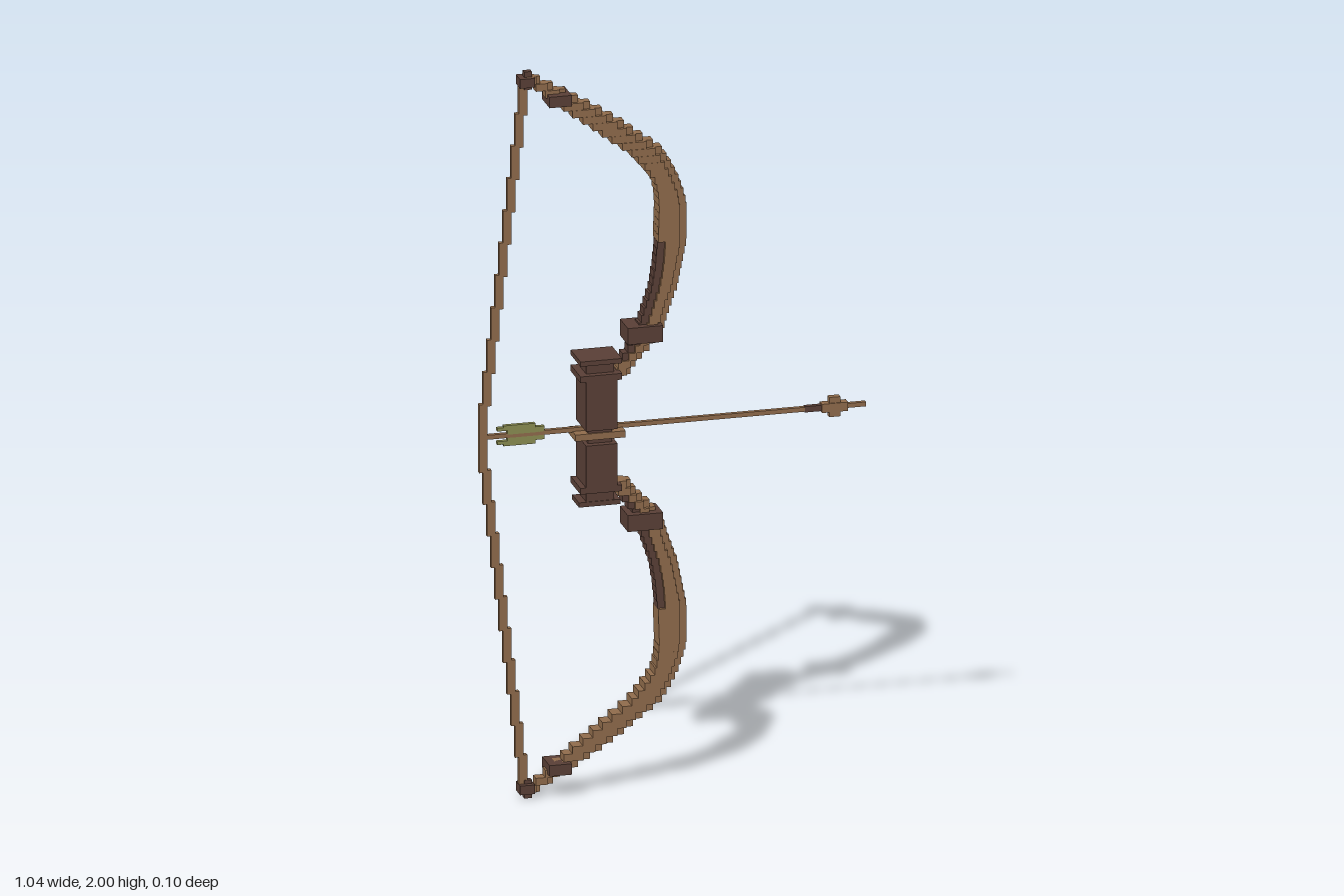
import * as THREE from 'three';

const mat = (name, color) => {
  const m = new THREE.MeshStandardMaterial({ color });
  m.name = name;
  return m;
};

// Limb outline for the upper half: y, inner x, outer x, half depth
const LIMB = [
  [1.14, -0.16, -0.125, 0.022], [1.18, -0.15, -0.10, 0.024], [1.22, -0.12, -0.06, 0.026],
  [1.26, -0.10, -0.03, 0.028], [1.32, -0.08, -0.012, 0.028], [1.38, -0.06, 0.01, 0.028],
  [1.44, -0.05, 0.022, 0.028], [1.50, -0.045, 0.034, 0.028], [1.60, -0.042, 0.034, 0.028],
  [1.64, -0.045, 0.025, 0.028], [1.68, -0.055, 0.01, 0.028], [1.72, -0.085, -0.01, 0.028],
  [1.76, -0.12, -0.035, 0.026], [1.80, -0.175, -0.09, 0.022], [1.84, -0.225, -0.14, 0.022],
  [1.88, -0.28, -0.20, 0.02], [1.92, -0.325, -0.265, 0.018], [1.95, -0.365, -0.315, 0.015],
  [1.985, -0.405, -0.375, 0.011],
];

function limbAt(y) {
  let i = 0;
  while (i < LIMB.length - 2 && LIMB[i + 1][0] < y) i++;
  const a = LIMB[i], b = LIMB[i + 1], t = (y - a[0]) / (b[0] - a[0]);
  return [1, 2, 3].map((k) => a[k] + (b[k] - a[k]) * t);
}

export function createModel() {
  const model = new THREE.Group();
  model.name = 'bowAndArrow';
  const wood = mat('lightWood', 0x8f6b4b);
  const dark = mat('darkLeather', 0x593f36);
  const green = mat('featherGreen', 0x8a8c52);

  // Axis-aligned block from its extents
  const block = (parent, name, m, x0, x1, y0, y1, hz, z = 0) => {
    const mesh = new THREE.Mesh(new THREE.BoxGeometry(x1 - x0, Math.abs(y1 - y0), hz * 2), m);
    mesh.position.set((x0 + x1) / 2, (y0 + y1) / 2, z);
    mesh.name = name;
    parent.add(mesh);
    return mesh;
  };
  const group = (name) => {
    const g = new THREE.Group();
    g.name = name;
    model.add(g);
    return g;
  };

  for (const s of [1, -1]) {
    const side = s > 0 ? 'upper' : 'lower';
    const my = (y) => 1 + s * (y - 1); // mirror about the grip centre
    const put = (g, name, m, x0, x1, y0, y1, hz) => block(g, name, m, x0, x1, my(y0), my(y1), hz);

    // Stepped limb: a broad core, a narrower outer ridge and a dark inner strip
    const limb = group(side + 'Limb');
    const step = 0.02;
    for (let i = 0; i < 42; i++) {
      const y0 = 1.145 + i * step, y1 = y0 + step;
      const [xin, xout, hz] = limbAt((y0 + y1) / 2);
      const strip = y0 > 1.18 && y0 < 1.5;
      const edge = Math.min(0.02, (xout - xin) * 0.3);
      const start = strip ? xin + edge : xin;
      put(limb, 'limbCore', wood, start, xout - edge, y0, y1, hz);
      put(limb, 'limbRidge', wood, xout - edge, xout, y0, y1, hz * 0.6);
      if (strip) put(limb, 'innerStrip', dark, xin, start, y0, y1, hz * 0.7);
    }

    // Bindings and string nock
    put(limb, 'limbBinding', dark, -0.13, -0.035, 1.235, 1.28, 0.04);
    put(limb, 'tipBinding', dark, -0.34, -0.28, 1.905, 1.935, 0.038);
    put(limb, 'nock', dark, -0.415, -0.375, 1.96, 1.985, 0.022);
    put(limb, 'nockTip', dark, -0.4, -0.38, 1.95, 2, 0.008);

    // Grip half with a collar and end slab
    const grip = group(side + 'Grip');
    put(grip, 'gripBody', dark, -0.245, -0.16, s > 0 ? 1.01 : 1.03, 1.16, 0.05);
    put(grip, 'gripNeck', dark, -0.24, -0.165, 1.16, 1.195, 0.032);
    put(grip, 'gripCollar', dark, -0.26, -0.148, 1.145, 1.162, 0.05);
    put(grip, 'gripCap', dark, -0.26, -0.148, 1.19, 1.203, s > 0 ? 0.05 : 0.034);

    // Stepped string, drawn back at the middle
    const string = group(side + 'String');
    const n = 11;
    for (let i = 0; i < n; i++) {
      const x = -0.51 + (i / n) * 0.118;
      const y0 = 1 + i * 0.088;
      put(string, 'stringSegment', wood, x - 0.011, x + 0.011, y0, y0 + 0.094, 0.007);
    }
  }

  // Arrow rest between the grip halves
  const rest = group('arrowRest');
  block(rest, 'restCore', dark, -0.235, -0.17, 0.965, 1.015, 0.032);
  block(rest, 'restPlate', wood, -0.27, -0.135, 0.98, 0.998, 0.036);

  // Arrow
  const arrow = group('arrow');
  block(arrow, 'shaft', wood, -0.5, 0.52, 0.996, 1.008, 0.006);
  block(arrow, 'shaftBand', dark, 0.355, 0.405, 0.994, 1.01, 0.007);
  block(arrow, 'headBase', wood, 0.4, 0.47, 0.99, 1.014, 0.012);
  block(arrow, 'headBarb', wood, 0.42, 0.45, 0.976, 1.03, 0.009);

  // Fletching: upper and lower stepped vanes
  for (const s of [1, -1]) {
    const vane = (x0, x1, y0, y1) => block(arrow, 'fletching', green, x0, x1, 1.002 + s * y0, 1.002 + s * y1, 0.006);
    vane(-0.445, -0.345, 0.003, 0.018);
    vane(-0.455, -0.37, 0.018, 0.028);
    vane(-0.472, -0.445, 0.014, 0.023);
  }
  return model;
}
